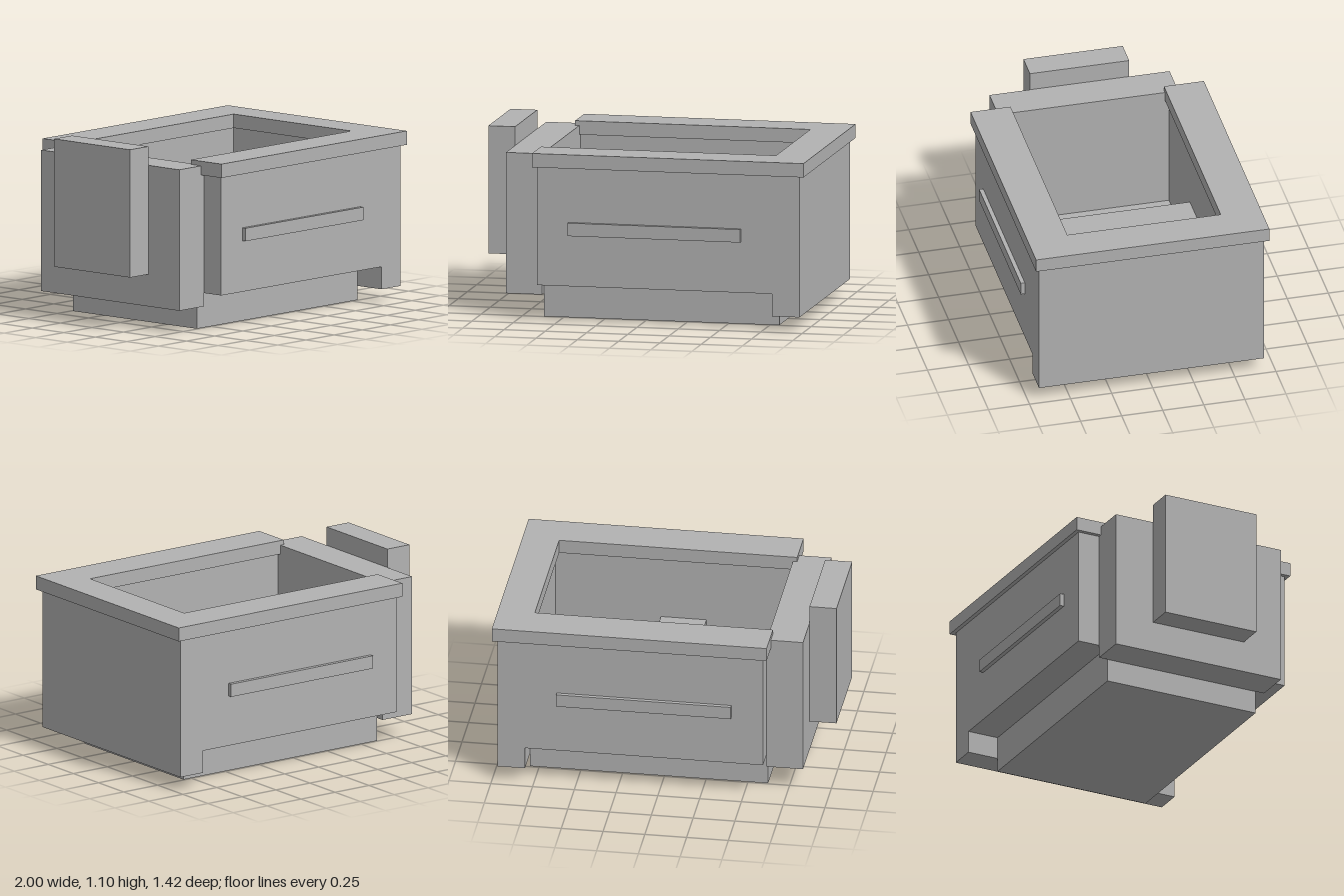
import * as THREE from 'three';

export function createModel() {
  const model = new THREE.Group();
  const grey = new THREE.MeshStandardMaterial({ color: 0xb2b2b2 });
  grey.name = 'plain grey';

  const add = (name, geometry) => {
    const mesh = new THREE.Mesh(geometry, grey);
    mesh.name = name;
    model.add(mesh);
    return mesh;
  };

  // Box given by its limits along each axis
  const box = (name, [x0, x1], [y0, y1], [z0, z1]) =>
    add(name, new THREE.BoxGeometry(x1 - x0, y1 - y0, z1 - z0))
      .position.set((x0 + x1) / 2, (y0 + y1) / 2, (z0 + z1) / 2);

  // Floor slab and end walls
  box('floor', [-0.62, 0.805], [0, 0.22], [-0.492, 0.492]);
  box('endWall', [0.805, 0.97], [0.085, 0.93], [-0.685, 0.685]);
  box('openEndPanel', [-0.838, -0.62], [0.14, 0.985], [-0.548, 0.548]);
  box('endPost', [-1, -0.838], [0.332, 1.098], [-0.302, 0.302]);

  // Bench across the inside
  box('bench', [-0.098, 0.175], [0.46, 0.54], [-0.492, 0.492]);

  // Side walls and their rails
  for (const [side, s] of [['left', 1], ['right', -1]]) {
    const span = (a, b) => (s > 0 ? [a, b] : [-b, -a]);
    box(side + 'SideWall', [-0.62, 0.805], [0.22, 0.93], span(0.492, 0.685));
    box(side + 'SideRail', [-0.43, 0.615], [0.525, 0.603], span(0.685, 0.71));
  }

  // U-shaped rim, open towards the panel
  const outline = [
    [-0.645, -0.71], [1, -0.71], [1, 0.71], [-0.645, 0.71],
    [-0.645, 0.467], [0.78, 0.467], [0.78, -0.467], [-0.645, -0.467],
  ].map(([x, y]) => new THREE.Vector2(x, y));
  const rim = new THREE.ExtrudeGeometry(new THREE.Shape(outline), { depth: 0.083, bevelEnabled: false });
  rim.rotateX(-Math.PI / 2);
  add('rim', rim).position.y = 0.93;

  return model;
}
